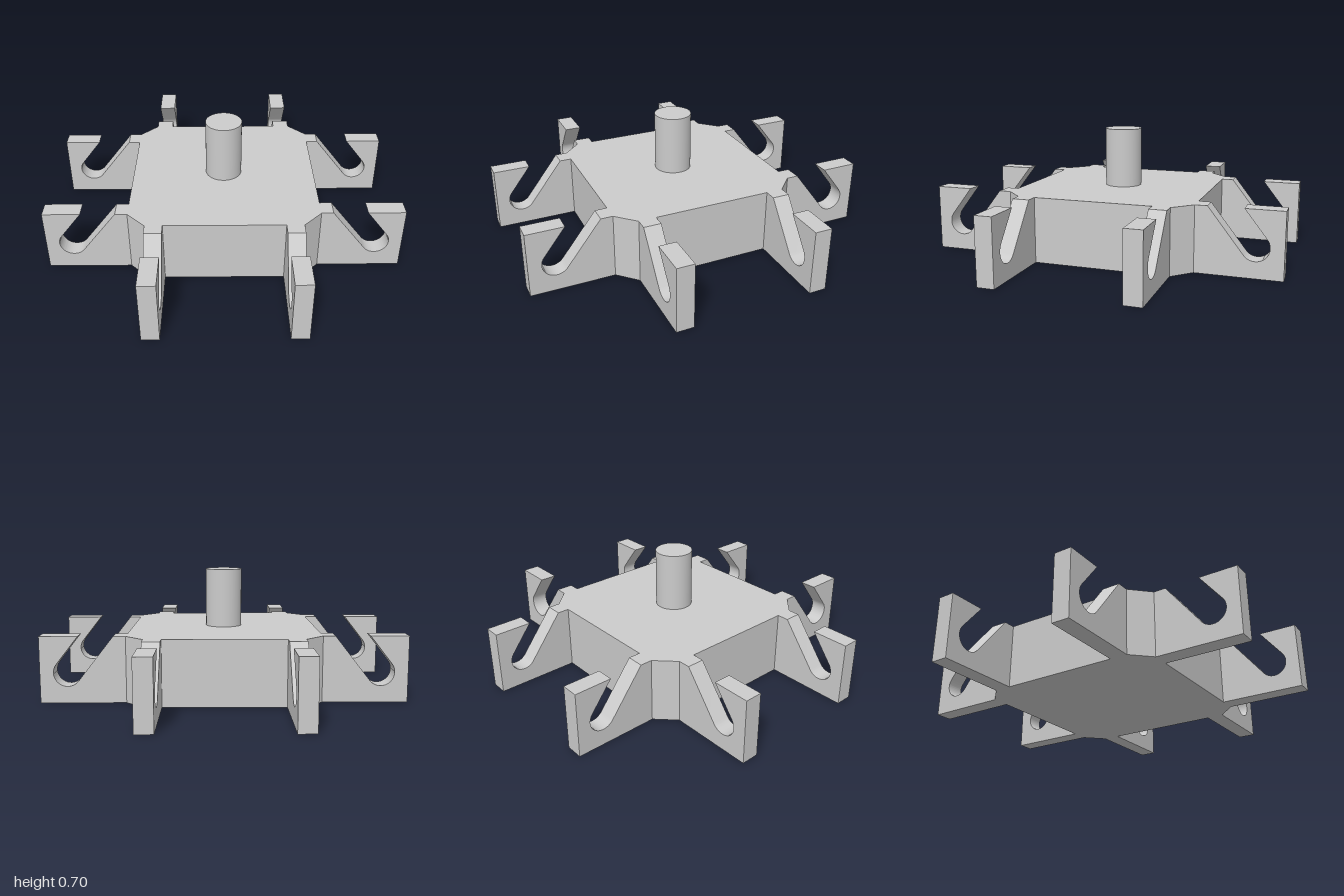
import * as THREE from 'three';
import { toCreasedNormals } from 'three/addons/utils/BufferGeometryUtils.js';

const HEIGHT = 0.367;   // plate and arm height
const HALF = 0.533;     // half width of the plate
const ARM_IN = 0.333;   // arm side nearest the centre line
const ARM_OUT = 0.43;   // arm side nearest the corner

const extrude = (shape, depth) => toCreasedNormals(
  new THREE.ExtrudeGeometry(shape, { depth, bevelEnabled: false, curveSegments: 24 }), 0.5);

// Square plate with chamfered corners
function bodyGeometry() {
  const points = [];
  for (let i = 0; i < 4; i++) {
    for (const [x, y] of [[HALF, ARM_OUT], [ARM_OUT, HALF]]) {
      points.push(new THREE.Vector2(x, y).rotateAround(new THREE.Vector2(), i * Math.PI / 2));
    }
  }
  return extrude(new THREE.Shape(points), HEIGHT).rotateX(-Math.PI / 2);
}

// Arm profile with a slanted, round-ended slot open at the top
function armGeometry() {
  const angle = THREE.MathUtils.degToRad(38);
  const shape = new THREE.Shape();
  shape.moveTo(HALF, 0);
  shape.lineTo(1, 0);
  shape.lineTo(1, HEIGHT);
  shape.lineTo(0.79, HEIGHT);
  shape.absarc(0.851, 0.167, 0.075, angle, angle - Math.PI, true);
  shape.lineTo(0.6, HEIGHT);
  shape.lineTo(HALF, HEIGHT);
  shape.closePath();
  return extrude(shape, ARM_OUT - ARM_IN);
}

export function createModel() {
  const model = new THREE.Group();
  model.name = 'slottedHub';
  const material = new THREE.MeshStandardMaterial({ color: 0xcccccc });
  const add = (geometry, name, parent = model) => {
    const mesh = new THREE.Mesh(geometry, material);
    mesh.name = name;
    parent.add(mesh);
    return mesh;
  };

  add(bodyGeometry(), 'body');

  // Central post
  const postHeight = 0.703 - HEIGHT;
  add(new THREE.CylinderGeometry(0.105, 0.105, postHeight, 48), 'post')
    .position.y = HEIGHT + postHeight / 2;

  // A pair of slotted arms on each of the four sides
  const arm = armGeometry();
  for (let i = 0; i < 4; i++) {
    const pair = new THREE.Group();
    pair.name = 'armPair';
    pair.rotation.y = i * Math.PI / 2;
    for (const z of [ARM_IN, -ARM_OUT]) add(arm, 'slottedArm', pair).position.z = z;
    model.add(pair);
  }
  return model;
}
